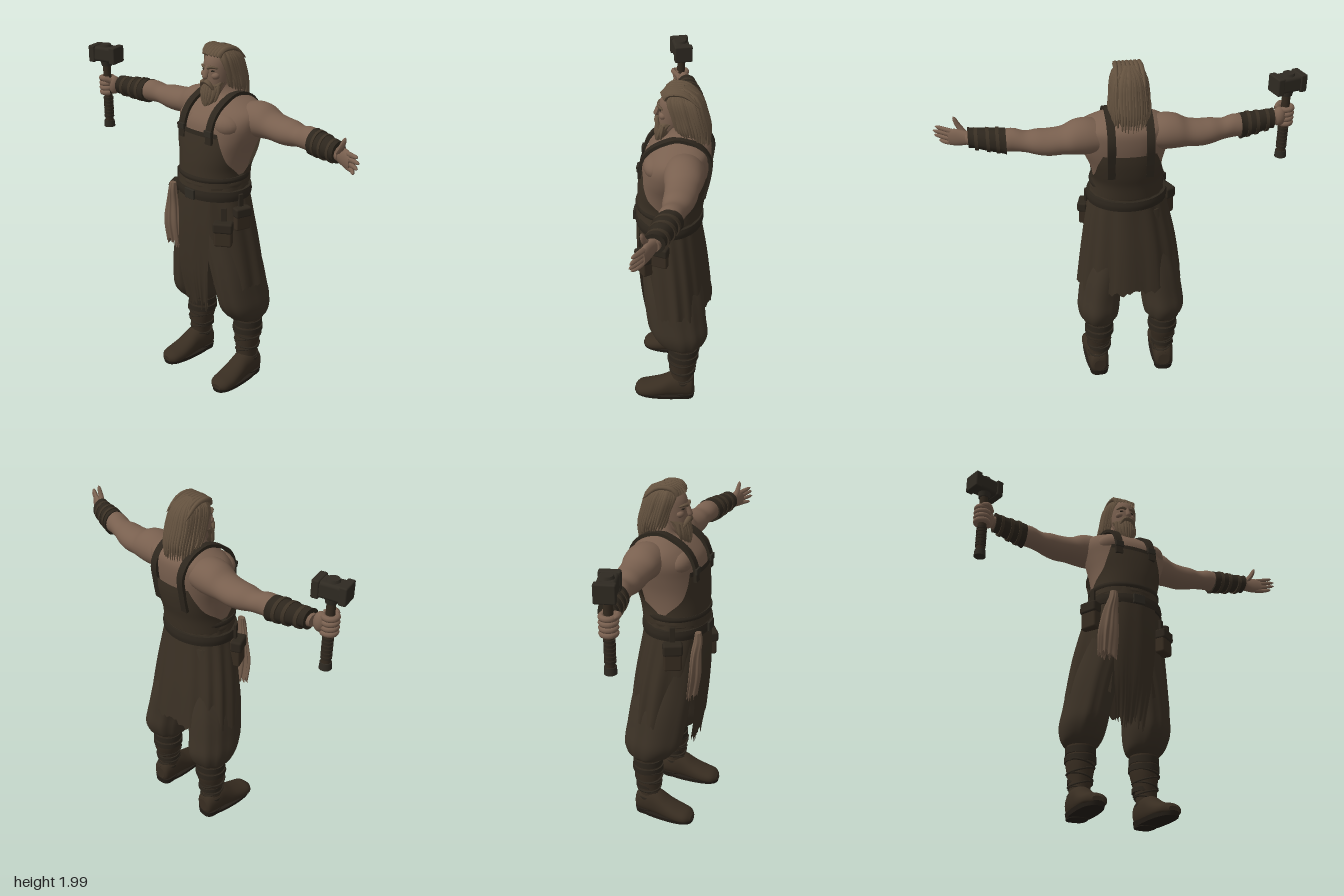
import * as THREE from 'three';
import { RoundedBoxGeometry } from 'three/addons/geometries/RoundedBoxGeometry.js';

const mat = (name, color) => Object.assign(new THREE.MeshStandardMaterial({ color, side: THREE.DoubleSide }), { name });
const skin = mat('skin', 0x79604f), hairM = mat('hair', 0x64523f), apron = mat('apron leather', 0x3a3024),
  dark = mat('dark leather', 0x2d261d), cloth = mat('trouser cloth', 0x3c3226), bootM = mat('boot leather', 0x382d21),
  soleM = mat('sole', 0x241e17), ragM = mat('rag linen', 0x705a49), iron = mat('iron', 0x2f2a22), wood = mat('handle wood', 0x33291e);

const V = (x, y, z) => new THREE.Vector3(x, y, z);
const noise = (i) => { const s = Math.sin(i * 12.9898) * 43758.5453; return s - Math.floor(s); };

export function createModel() {
  const root = new THREE.Group();
  root.name = 'blacksmith';
  const add = (name, geo, m, parent = root) => {
    const mesh = new THREE.Mesh(geo, m);
    mesh.name = name;
    parent.add(mesh);
    return mesh;
  };

  // Smooth skin over elliptical sections. Row: [position on axis, centre u, centre v, radius u, radius v, (start, end angle)].
  // Axis y: u = z, v = x. Axis x: u = y, v = z. Axis z: u = x, v = y.
  function loft(name, m, axis, rows, o = {}) {
    const { n = 32, p = 1, fold = 0, k = 9, sub = 4, hem = 0, minY = -9 } = o;
    rows = rows[0][0] > rows[rows.length - 1][0] ? [...rows].reverse() : rows;
    const rings = [], R = rows.length, open = rows[0].length > 5, cols = open ? n + 1 : n;
    for (let i = 0; i <= (R - 1) * sub; i++) {
      const g = Math.min(Math.floor(i / sub), R - 2), t = i / sub - g;
      const [a, b, c, d] = [g - 1, g, g + 1, g + 2].map((q) => rows[Math.max(0, Math.min(R - 1, q))]);
      rings.push(b.map((v, q) => 0.5 * (2 * v + (c[q] - a[q]) * t + (2 * a[q] - 5 * v + 4 * c[q] - d[q]) * t * t
        + (3 * v - a[q] - 3 * c[q] + d[q]) * t * t * t)));
    }
    const pos = [], idx = [], L = rings.length - 1;
    const put = (t, u, v) => {
      const q = axis === 'y' ? [v, t, u] : axis === 'x' ? [t, u, v] : [u, v, t];
      pos.push(q[0], Math.max(q[1], minY), q[2]);
    };
    const ringPoints = (i) => {
      const r = rings[i], w = 1 - i / L;
      for (let j = 0; j < cols; j++) {
        const a = open ? r[5] + (r[6] - r[5]) * j / n : j / n * Math.PI * 2;
        const f = 1 + fold * (0.3 + 0.7 * w) * Math.sin(k * a + 1.5 * Math.sin(3 * a));
        const c = Math.cos(a), s = Math.sin(a);
        put(r[0] - hem * w ** 4 * noise(j + 3), r[1] + r[3] * f * Math.sign(c) * Math.abs(c) ** p,
          r[2] + r[4] * f * Math.sign(s) * Math.abs(s) ** p);
      }
    };
    for (let i = 0; i <= L; i++) ringPoints(i);
    for (let i = 0; i < L; i++) for (let j = 0; j < n; j++) {
      const a = i * cols + j, b = i * cols + (j + 1) % cols;
      idx.push(a, b, b + cols, a, b + cols, a + cols);
    }
    if (!open) for (const i of [0, L]) {
      const s = pos.length / 3;
      ringPoints(i);
      put(rings[i][0], rings[i][1], rings[i][2]);
      for (let j = 0; j < n; j++) idx.push(s + n, ...(i ? [s + j, s + (j + 1) % n] : [s + (j + 1) % n, s + j]));
    }
    const geo = new THREE.BufferGeometry();
    geo.setAttribute('position', new THREE.Float32BufferAttribute(pos, 3));
    geo.setIndex(idx);
    geo.computeVertexNormals();
    return add(name, geo, m, o.parent);
  }

  // Round strand along a path, narrowing to a fraction at its tip.
  function strand(name, m, pts, r, tip = 0.1, parent = root) {
    const path = new THREE.CatmullRomCurve3(pts), seg = 10, rad = 7;
    const geo = new THREE.TubeGeometry(path, seg, r, rad), P = geo.attributes.position;
    for (let i = 0; i < P.count; i++) {
      const t = Math.floor(i / (rad + 1)) / seg;
      const width = (1 - (1 - tip) * t * t) * (t === 1 ? 0.02 : t > 0.85 ? 0.85 : 1);
      const c = path.getPointAt(t), v = V().fromBufferAttribute(P, i).sub(c).multiplyScalar(width).add(c);
      P.setXYZ(i, v.x, v.y, v.z);
    }
    geo.computeVertexNormals();
    return add(name, geo, m, parent);
  }

  // Flat strap lying across x, following a path in the y-z plane.
  function ribbon(name, m, pts, w, t) {
    const path = new THREE.CatmullRomCurve3(pts), geo = new THREE.BoxGeometry(w, t, 1, 1, 1, 28), P = geo.attributes.position;
    for (let i = 0; i < P.count; i++) {
      const s = P.getZ(i) + 0.5, c = path.getPoint(s), N = path.getTangent(s).cross(V(1, 0, 0)).normalize();
      c.addScaledVector(N, P.getY(i));
      P.setXYZ(i, c.x + P.getX(i), c.y, c.z);
    }
    geo.computeVertexNormals();
    return add(name, geo, m);
  }
  const ball = (name, m, x, y, z, rx, ry, rz) => {
    const b = add(name, new THREE.SphereGeometry(1, 20, 14), m);
    b.position.set(x, y, z);
    b.scale.set(rx, ry, rz);
    return b;
  };
  const block = (name, m, x, y, z, w, h, d, ry = 0, parent = root) => {
    const b = add(name, new RoundedBoxGeometry(w, h, d, 2, Math.min(w, h, d) * 0.2), m, parent);
    b.position.set(x, y, z);
    b.rotation.y = ry;
    return b;
  };

  // Torso and neck
  loft('torso', skin, 'y', [[1.15, .02, -.02, .15, .19], [1.3, .02, -.02, .16, .183], [1.42, .003, -.01, .175, .2],
    [1.52, -.012, 0, .18, .232], [1.6, -.022, 0, .178, .25], [1.66, -.042, 0, .152, .24], [1.7, -.05, -.005, .115, .17],
    [1.73, -.05, -.01, .085, .105], [1.78, -.035, -.02, .068, .07], [1.84, -.02, -.02, .06, .06]], { p: 0.9 });

  // Arms and bracers
  for (const s of [1, -1]) {
    const side = s > 0 ? 'left' : 'right', X = (rows) => rows.map(([x, ...r]) => [s * x, ...r]);
    ball(side + 'Pectoral', skin, s * .11, 1.595, .075, .1, .065, .072);
    loft(side + 'Arm', skin, 'x', X([[.12, 1.61, -.07, .08, .1], [.2, 1.615, -.075, .095, .105], [.27, 1.613, -.078, .09, .1],
      [.33, 1.6, -.078, .073, .088], [.4, 1.593, -.076, .07, .084], [.46, 1.595, -.07, .066, .078], [.52, 1.597, -.062, .055, .064],
      [.58, 1.605, -.05, .061, .062], [.64, 1.603, -.042, .058, .06], [.74, 1.6, -.015, .045, .048], [.83, 1.6, .012, .033, .036]]));
    loft(side + 'Bracer', dark, 'x', X([[.62, 1.598, -.046, .07, .07], [.645, 1.598, -.036, .067, .066], [.72, 1.602, -.02, .06, .06],
      [.79, 1.605, 0, .053, .053], [.815, 1.605, .006, .056, .055]]), { fold: .02, k: 6 });
    for (const [x, z, r] of [[.655, -.036, .07], [.705, -.024, .066], [.765, -.008, .06]])
      loft(side + 'BracerStrap', apron, 'x', X([[x, 1.6, z, r, r], [x + .018, 1.6, z + .005, r, r]]), { sub: 1 });
  }

  // Open left hand, thumb up
  loft('leftPalm', skin, 'x', [[.8, 1.603, .005, .032, .034], [.84, 1.6, .018, .042, .028], [.885, 1.597, .035, .048, .024],
    [.92, 1.593, .05, .04, .018]]);
  [[1.628, 1.643, .985, .085], [1.606, 1.618, 1, .09], [1.583, 1.59, .995, .096], [1.562, 1.56, .97, .092]].forEach(([y0, y1, x, z]) =>
    strand('leftFinger', skin, [V(.89, y0, .038), V(.94, (y0 + y1) / 2, .062), V(x, y1, z)], .0135, .6));
  strand('leftThumb', skin, [V(.83, 1.615, .03), V(.86, 1.655, .045), V(.885, 1.71, .05)], .017, .5);

  // Hammer held upright in the right hand
  const hammer = new THREE.Group();
  hammer.name = 'hammer';
  hammer.position.set(-.895, 0, .05);
  hammer.rotation.y = .29;
  root.add(hammer);
  const turned = (name, m, y0, y1, r0, r1 = r0) => {
    add(name, new THREE.CylinderGeometry(r1, r0, y1 - y0, 18), m, hammer).position.y = (y0 + y1) / 2;
  };
  block('hammerHead', iron, 0, 1.788, 0, .15, .088, .095, 0, hammer);
  for (const s of [1, -1]) block('hammerFace', iron, s * .07, 1.788, 0, .04, .098, .106, 0, hammer);
  turned('hammerCap', iron, 1.83, 1.845, .036, .03);
  turned('hammerCollar', iron, 1.715, 1.745, .03, .036);
  turned('hammerHandle', wood, 1.37, 1.72, .025, .023);
  turned('hammerPommel', iron, 1.34, 1.378, .033, .03);
  for (let i = 0; i < 6; i++) turned('gripWrap', dark, 1.4 + i * .022, 1.414 + i * .022, .029);

  // Right fist round the handle
  ball('rightPalm', skin, -.858, 1.6, .028, .036, .055, .036);
  for (let i = 0; i < 4; i++) {
    const f = add('rightFinger', new THREE.TorusGeometry(.034, .0155, 8, 18, 5.2), skin);
    f.position.set(-.897, 1.556 + i * .028, .05);
    f.rotation.set(Math.PI / 2, 0, .4);
  }
  strand('rightThumb', skin, [V(-.85, 1.63, .06), V(-.88, 1.648, .095), V(-.92, 1.645, .09)], .017, .6);

  // Head and face
  const hx = -.02;
  loft('head', skin, 'y', [[1.72, .035, hx, .03, .035], [1.75, .025, hx, .052, .055], [1.8, .002, hx, .078, .068],
    [1.86, -.012, hx, .09, .075], [1.91, -.02, hx, .09, .074], [1.95, -.028, hx, .07, .06], [1.972, -.03, hx, .02, .02]]);
  strand('nose', skin, [V(hx, 1.885, .068), V(hx, 1.85, .085), V(hx, 1.815, .097)], .014, 1.1);
  for (const s of [1, -1]) {
    ball('eye', dark, hx + s * .03, 1.862, .064, .013, .006, .01);
    ball('cheek', skin, hx + s * .038, 1.835, .052, .025, .02, .022);
    strand('eyebrow', hairM, [V(hx + s * .008, 1.876, .081), V(hx + s * .03, 1.884, .077), V(hx + s * .06, 1.876, .05)], .009, .4);
    strand('moustache', hairM, [V(hx, 1.806, .088), V(hx + s * .025, 1.798, .087), V(hx + s * .05, 1.755, .068)], .014, .3);
  }

  // Beard
  loft('beard', hairM, 'y', [[1.66, .085, hx, .008, .01], [1.69, .075, hx, .025, .036], [1.73, .058, hx, .04, .056],
    [1.77, .042, hx, .046, .064], [1.8, .018, hx, .048, .069]], { fold: .07, k: 13, n: 52 });
  for (let i = -4; i <= 4; i++) {
    const x = hx + i * .014, c = Math.cos(i * .3);
    strand('beardLock', hairM, [V(x, 1.785, .03 + .05 * c), V(x, 1.73, .04 + .055 * c), V(hx + i * .008, 1.68 - .03 * c, .05 + .045 * c)], .012);
  }

  // Long hair swept back from the forehead
  loft('hairCap', hairM, 'y', [[1.7, -.115, hx, .055, .07], [1.76, -.1, hx, .07, .085], [1.83, -.075, hx, .085, .09],
    [1.9, -.058, hx, .094, .086], [1.945, -.045, hx, .085, .072], [1.975, -.04, hx, .035, .03]], { fold: .03, k: 18, n: 72 });
  for (let i = 0; i < 34; i++) {
    const a = .75 + (i / 33) * (Math.PI * 2 - 1.5), s = Math.sin(a), c = Math.cos(a), q = noise(i), r = noise(i + 50);
    strand('hairLock', hairM, [V(hx + s * .025, 1.968, -.02 + c * .03), V(hx + s * .075, 1.935, -.04 + c * .085),
      V(hx + s * (.093 + .008 * q), 1.84, -.07 + c * .095), V(hx + s * (.098 + .012 * r), 1.755, -.095 + c * .095),
      V(hx + s * (.075 + .03 * q), 1.68 + .045 * r - (c < -.3 ? .03 : -.02), -.105 + c * .085)], .015 + .005 * q);
  }
  for (let i = -3; i <= 3; i++)
    strand('frontLock', hairM, [V(hx + i * .017, 1.935, .062 - Math.abs(i) * .007), V(hx + i * .02, 1.966, .025), V(hx + i * .022, 1.968, -.06),
      V(hx + i * .024, 1.9, -.145)], .015, .4);

  // Bib, back panel and shoulder straps
  const body = (y, cz, cx, rz, rx, a, w) => [y, cz, cx, rz, rx, a - w, a + w];
  loft('bib', apron, 'y', [body(1.25, .025, -.02, .178, .2, 0, 1.75), body(1.33, .02, -.02, .18, .196, 0, 1.45),
    body(1.4, .01, -.015, .186, .21, 0, 1.0), body(1.48, -.003, -.015, .19, .235, 0, .72), body(1.555, -.015, -.015, .19, .25, 0, .56)], { p: .9 });
  loft('bibHem', dark, 'y', [body(1.535, -.012, -.015, .194, .25, 0, .57), body(1.56, -.014, -.015, .193, .25, 0, .57)], { p: .9, sub: 1 });
  loft('backPanel', apron, 'y', [body(1.25, .02, -.02, .178, .2, Math.PI, 1.75), body(1.33, .01, -.02, .18, .198, Math.PI, 1.45),
    body(1.4, 0, -.015, .189, .215, Math.PI, 1), body(1.48, -.008, -.01, .196, .24, Math.PI, .72), body(1.54, -.014, -.01, .195, .25, Math.PI, .56)], { p: .9 });
  for (const s of [1, -1]) {
    const x = -.015 + s * .102;
    ribbon('shoulderStrap', dark, [V(x, 1.5, .172), V(x, 1.59, .162), V(x, 1.66, .122), V(x, 1.71, .05), V(x, 1.737, -.04),
      V(x, 1.7, -.145), V(x, 1.62, -.2), V(x, 1.5, -.19), V(x, 1.4, -.172)], .042, .018);
    block('strapBuckle', iron, x, 1.56, .178, .05, .035, .014);
  }

  // Skirt and ragged front apron
  loft('skirt', apron, 'y', [[.68, -.03, -.028, .19, .3, .42, 5.86], [.9, -.008, -.028, .186, .27, .42, 5.86],
    [1.1, .015, -.022, .178, .232, .42, 5.86], [1.2, .025, -.02, .174, .21, .42, 5.86], [1.28, .025, -.02, .17, .2, .42, 5.86]],
  { n: 90, fold: .03, k: 13, hem: .045 });
  loft('frontApron', apron, 'y', [body(.54, -.02, -.035, .175, .29, -.01, .3), body(.7, -.008, -.035, .196, .29, 0, .38),
    body(.9, .01, -.03, .195, .27, 0, .48), body(1.1, .022, -.025, .188, .24, 0, .55), body(1.28, .025, -.02, .18, .205, 0, .65)],
  { n: 36, fold: .012, k: 11, hem: .09 });

  // Belts, buckle and pouches
  const belt = (name, m, y, h, rz, rx) => loft(name, m, 'y', [[y - h, .025, -.02, rz - .004, rx - .004], [y, .025, -.02, rz, rx],
    [y + h, .025, -.02, rz - .004, rx - .004]], { n: 40 });
  belt('waistBelt', dark, 1.205, .028, .19, .225);
  belt('waistTie', dark, 1.295, .014, .187, .208);
  belt('waistWrap', apron, 1.262, .02, .182, .204);
  block('beltBuckle', iron, -.015, 1.205, .217, .07, .055, .014);
  const pouch = (name, x, y, z, w, h, d, ry) => {
    const g = new THREE.Group();
    g.name = name;
    g.position.set(x, y, z);
    g.rotation.y = ry;
    root.add(g);
    block(name + 'Body', bootM, 0, 0, 0, w, h, d, 0, g);
    block(name + 'Flap', dark, 0, h * .3, .006, w * 1.08, h * .42, d * 1.08, 0, g);
    block(name + 'Loop', dark, 0, h * .75, -d * .2, w * .3, h * .6, .015, 0, g);
  };
  pouch('leftPouch', .17, 1.0, .145, .1, .14, .06, .6);
  pouch('leftSidePouch', .215, 1.08, .05, .09, .13, .05, 1.3);
  pouch('rightPouch', -.25, 1.1, .09, .1, .16, .06, -1.1);

  // Cloth tucked in the belt
  loft('rag', ragM, 'y', [[.87, .18, -.19, .022, .05], [.98, .196, -.19, .026, .054], [1.1, .198, -.18, .024, .04],
    [1.18, .205, -.168, .022, .026], [1.225, .203, -.165, .016, .02]], { fold: .2, k: 8, n: 64, hem: .05 });

  // Trousers, shin wraps and boots
  for (const s of [1, -1]) {
    const side = s > 0 ? 'left' : 'right', c = -.035;
    const Y = (rows) => rows.map(([y, cz, d, rz, rx]) => [y, cz, c + s * d, rz, rx]);
    loft(side + 'Trouser', cloth, 'y', Y([[.395, -.075, .19, .085, .08], [.425, -.065, .19, .125, .107], [.5, -.05, .19, .165, .122],
      [.6, -.033, .178, .17, .122], [.75, -.015, .15, .17, .128], [.95, .01, .1, .16, .13], [1.15, .02, .08, .15, .115]]),
    { fold: .035, k: 9, n: 54 });
    loft(side + 'BootShaft', bootM, 'y', Y([[.06, -.07, .2, .066, .056], [.15, -.065, .197, .062, .055], [.22, -.07, .193, .072, .065],
      [.3, -.077, .19, .085, .078], [.36, -.077, .19, .08, .077], [.42, -.077, .19, .08, .077]]), { fold: .015, k: 8 });
    for (const [y, r, h] of [[.365, .087, .018], [.32, .09, .016], [.2, .072, .012]])
      loft(side + 'ShinStrap', dark, 'y', Y([[y - h, -.076, .19, r, r - .004], [y + h, -.076, .19, r, r - .004]]), { sub: 1 });
    for (let i = 0; i < 5; i++) {
      const w = add(side + 'Lacing', new THREE.TorusGeometry(1, .1, 6, 28), dark), r = .063 + i * .004;
      w.position.set(c + s * .194, .15 + i * .036, -.07);
      w.scale.set(r - .004, r + .003, .05);
      w.rotation.set(Math.PI / 2, (i % 2 ? 1 : -1) * .25, 0);
    }
    const foot = new THREE.Group();
    foot.name = side + 'Boot';
    foot.position.x = c + s * .203;
    foot.rotation.y = s * .05;
    root.add(foot);
    loft('bootUpper', bootM, 'z', [[-.142, 0, .075, .035, .04], [-.125, 0, .08, .055, .07], [-.06, 0, .09, .062, .085], [.0, 0, .08, .06, .078],
      [.06, 0, .06, .065, .06], [.13, 0, .045, .069, .046], [.185, 0, .04, .06, .036], [.213, 0, .035, .03, .018]],
    { parent: foot, minY: .022, p: .9 });
    loft('bootSole', soleM, 'y', [[.004, .04, 0, .174, .066], [.028, .038, 0, .182, .071]], { parent: foot, p: .8, sub: 1 });
    loft('bootHeel', soleM, 'y', [[0, -.085, 0, .058, .054], [.035, -.085, 0, .062, .06]], { parent: foot, p: .7, sub: 1 });
    loft('bootCuff', dark, 'y', [[.1, -.07, 0, .07, .06], [.125, -.07, 0, .07, .06]], { parent: foot, sub: 1 });
  }
  return root;
}
